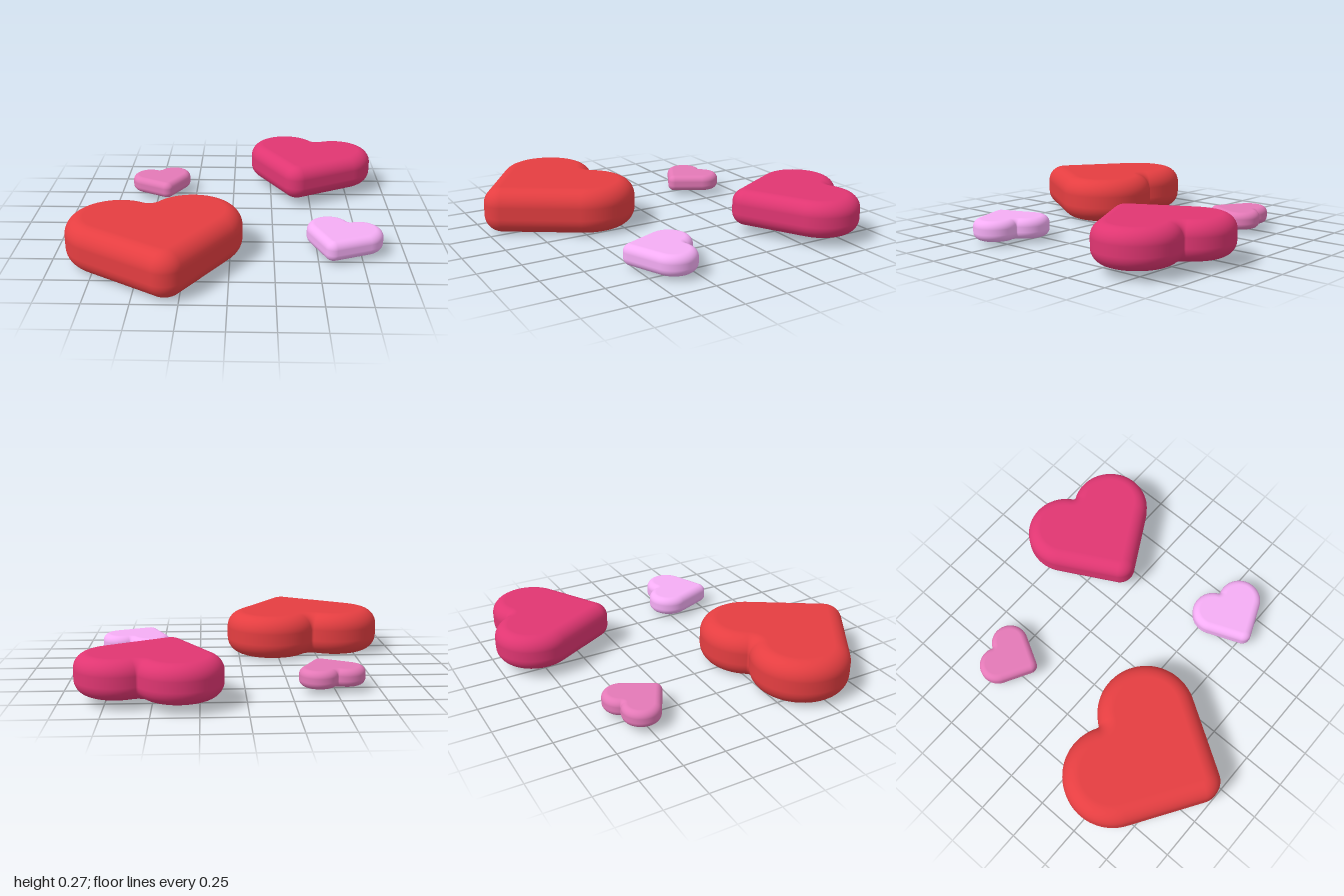
import * as THREE from 'three';

// Heart at unit scale: two lobes, a rounded tip and a small notch fillet
const LOBE = 0.29, HALF_GAP = 0.21, TIP = 0.115, TIP_DIST = 0.46, FILLET = 0.015;
const HEIGHT = 0.27, BEVEL = 0.1, BEVEL_STEPS = 10;

// Outline as tangent arcs, counter-clockwise from above; each point keeps its
// arc centre, signed radius and outward normal so it can be inset exactly
function heartOutline() {
  const notchV = Math.sqrt((LOBE + FILLET) ** 2 - HALF_GAP ** 2);
  const side = Math.atan2(TIP_DIST, HALF_GAP)
    - Math.acos((TIP - LOBE) / Math.hypot(HALF_GAP, TIP_DIST));
  const inner = Math.atan2(notchV, -HALF_GAP);
  const points = [];
  const arc = (u, v, radius, from, to, steps) => {
    for (let i = 0; i <= steps; i++) {
      const a = from + (to - from) * i / steps;
      points.push({ u, v, radius, nu: Math.cos(a), nv: Math.sin(a) });
    }
  };
  arc(0, -TIP_DIST, TIP, -Math.PI - side, side, 16);
  arc(HALF_GAP, 0, LOBE, side, inner, 36);
  arc(0, notchV, -FILLET, inner, Math.PI - inner, 10);
  arc(-HALF_GAP, 0, LOBE, Math.PI - inner, Math.PI - side, 36);
  return points;
}

// Rings swept up the rounded edge, closed by flat caps
function heartGeometry() {
  const outline = heartOutline(), n = outline.length;
  const positions = [], normals = [], index = [];
  const ring = (inset, y, tilt) => {
    for (const p of outline) {
      const r = p.radius - inset;
      positions.push(p.u + r * p.nu, y, -(p.v + r * p.nv));
      normals.push(p.nu * Math.cos(tilt), Math.sin(tilt), -p.nv * Math.cos(tilt));
    }
  };
  for (const half of [-1, 1]) {
    for (let k = 0; k <= BEVEL_STEPS; k++) {
      const t = (half < 0 ? k / BEVEL_STEPS - 1 : k / BEVEL_STEPS) * Math.PI / 2;
      const base = half < 0 ? BEVEL : HEIGHT - BEVEL;
      ring(BEVEL * (1 - Math.cos(t)), base + BEVEL * Math.sin(t), t);
    }
  }
  const rings = 2 * (BEVEL_STEPS + 1);
  const bottom = rings * n, top = bottom + 1, last = (rings - 1) * n;
  positions.push(0, 0, 0.1, 0, HEIGHT, 0.1);
  normals.push(0, -1, 0, 0, 1, 0);
  for (let i = 0; i < n; i++) {
    const next = (i + 1) % n;
    for (let j = 0; j < rings - 1; j++) {
      const a = j * n + i, b = j * n + next;
      index.push(a, b, b + n, a, b + n, a + n);
    }
    index.push(bottom, next, i, top, last + i, last + next);
  }
  const geometry = new THREE.BufferGeometry();
  geometry.setAttribute('position', new THREE.Float32BufferAttribute(positions, 3));
  geometry.setAttribute('normal', new THREE.Float32BufferAttribute(normals, 3));
  geometry.setIndex(index);
  return geometry;
}

export function createModel() {
  const model = new THREE.Group();
  model.name = 'hearts';
  const geometry = heartGeometry();

  // Position is the midpoint between the lobes; turn is in degrees
  const hearts = [
    { name: 'largeRedHeart', color: 0xe53e41, at: [-0.425, 0, 0.435], scale: 1, turn: 12.4 },
    { name: 'mediumPinkHeart', color: 0xe03672, at: [0.518, 0.045, -0.718], scale: 0.81, turn: -16.3 },
    { name: 'smallLilacHeart', color: 0xf5adf5, at: [0.66, 0.018, 0.313], scale: 0.448, turn: -22.6 },
    { name: 'smallMauveHeart', color: 0xe479b7, at: [-0.483, 0.03, -0.533], scale: 0.382, turn: 16.2 },
  ];
  for (const { name, color, at, scale, turn } of hearts) {
    const heart = new THREE.Mesh(geometry, new THREE.MeshStandardMaterial({ color }));
    heart.name = name;
    heart.position.set(...at);
    heart.scale.setScalar(scale);
    heart.rotation.y = THREE.MathUtils.degToRad(turn);
    model.add(heart);
  }
  return model;
}
